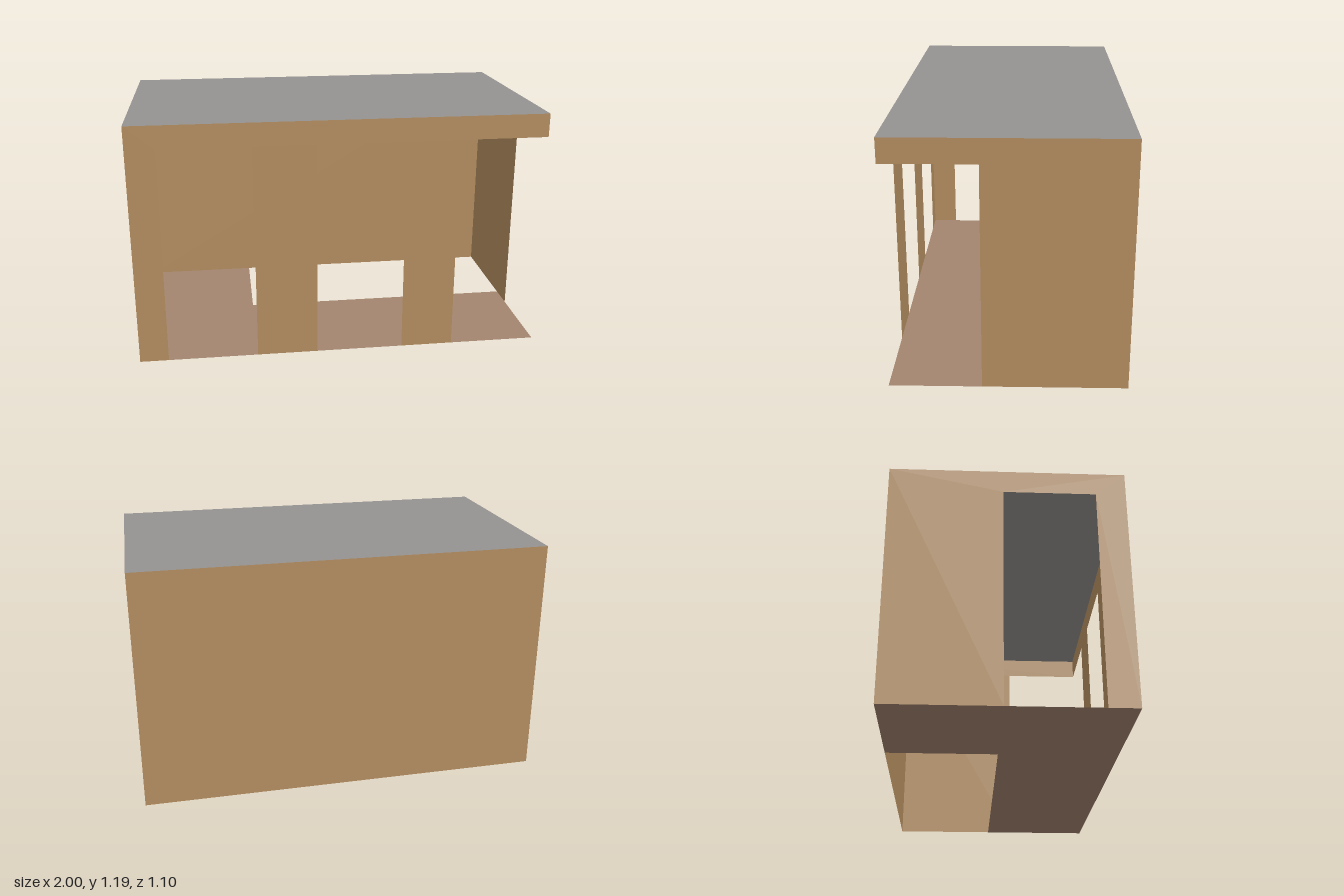
import * as THREE from 'three';

const W = 1, D = 0.55, H = 1.19;   // half width, half depth, height
const DOOR = 1.075;                // top of every opening

function material(name, color) {
  const m = new THREE.MeshStandardMaterial({ color, side: THREE.DoubleSide });
  m.name = name;
  return m;
}

// Flat panel from an outline
function panel(name, points, mat) {
  const shape = new THREE.Shape(points.map(([x, y]) => new THREE.Vector2(x, y)));
  const mesh = new THREE.Mesh(new THREE.ShapeGeometry(shape), mat);
  mesh.name = name;
  return mesh;
}

// Wall outline from a to b, with door-height openings cut up from the ground.
// An opening that reaches b leaves that corner free.
function wallOutline(a, b, openings = []) {
  const pts = [[a, H], [a, 0]];
  let openEnd = false;
  for (const [p, q] of openings) {
    pts.push([p, 0], [p, DOOR], [q, DOOR]);
    if (q < b) pts.push([q, 0]);
    else openEnd = true;
  }
  if (!openEnd) pts.push([b, 0]);
  pts.push([b, H]);
  return pts;
}

export function createModel() {
  const wood = material('tan wall', 0xb48e60);
  const grey = material('grey roof', 0x959391);
  const clay = material('clay floor', 0xa3856f);
  const group = new THREE.Group();
  group.name = 'openPavilion';

  // Front wall with three openings, the last one reaching the corner
  const front = panel('frontWall',
    wallOutline(-W, W, [[-0.86, -0.42], [-0.12, 0.31], [0.57, W]]), wood);
  front.position.z = D;

  // Solid back wall
  const back = panel('backWall', wallOutline(-W, W), wood);
  back.geometry.rotateY(Math.PI);
  back.position.z = -D;

  // Side walls: outlines run along z from back to front
  const left = panel('leftWall', wallOutline(-D, D, [[0.12, D]]), wood);
  left.geometry.rotateY(-Math.PI / 2);
  left.position.x = W;
  const right = panel('rightWall', wallOutline(-D, D, [[-0.02, 0.41]]), wood);
  right.geometry.rotateY(-Math.PI / 2);
  right.position.x = -W;

  // L-shaped floor, outline in x and z
  const floor = panel('floor',
    [[-W, -D], [-0.42, -D], [-0.42, -0.02], [W, -0.02], [W, D], [-W, D]], clay);
  floor.geometry.rotateX(Math.PI / 2);

  // Flat roof
  const roof = panel('roof', [[-W, -D], [W, -D], [W, D], [-W, D]], grey);
  roof.geometry.rotateX(-Math.PI / 2);
  roof.position.y = H;

  group.add(front, back, left, right, floor, roof);
  return group;
}
